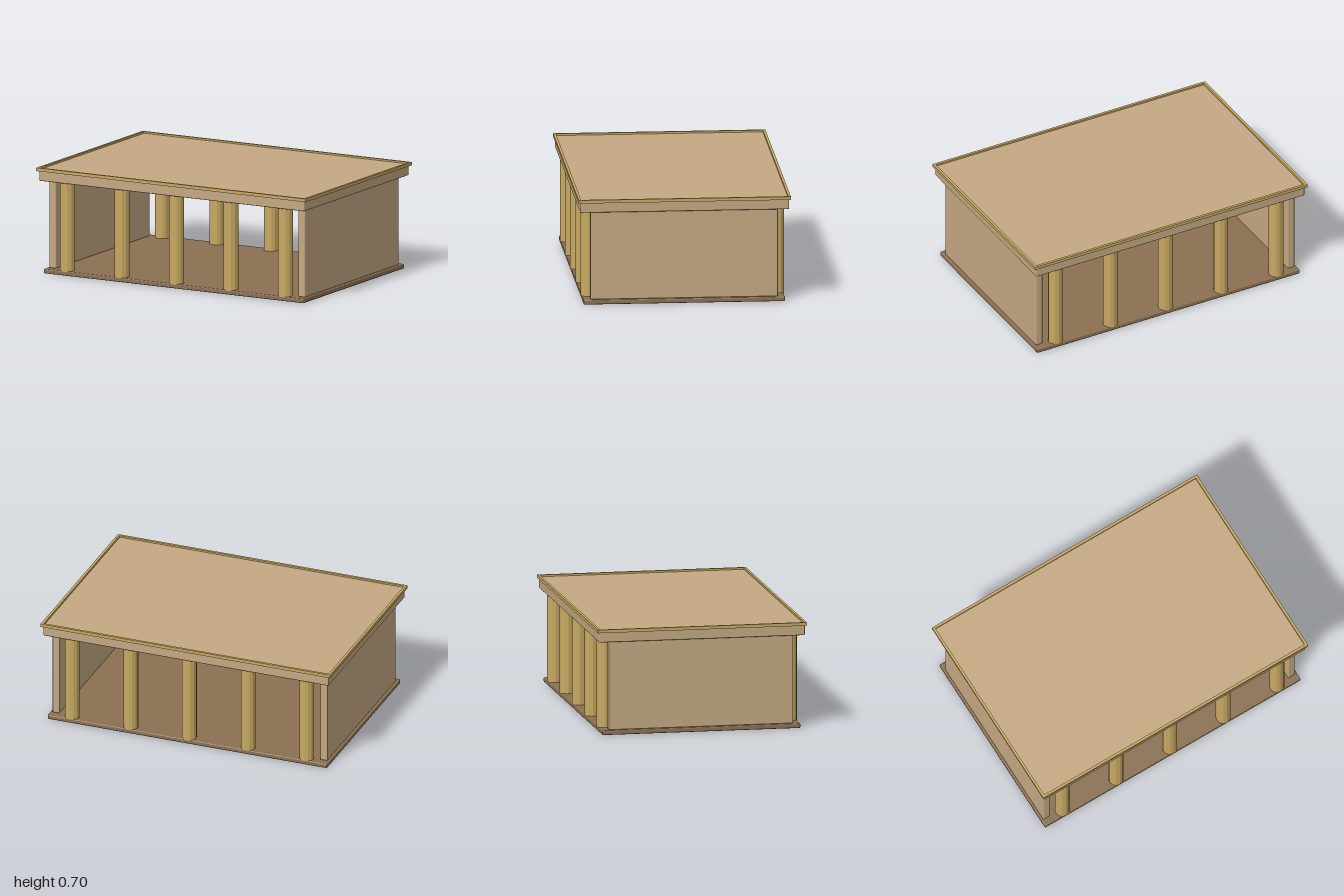
import * as THREE from 'three';
import { RoundedBoxGeometry } from 'three/addons/geometries/RoundedBoxGeometry.js';

export function createModel() {
  const model = new THREE.Group();
  model.name = 'pavilion';

  const mat = (name, color, extra = {}) => {
    const m = new THREE.MeshStandardMaterial({ color, ...extra });
    m.name = name;
    return m;
  };
  const sandstone = mat('sandstone', 0xc4a882);
  const gold = mat('gold', 0xc8a962, { flatShading: true });
  const floorBrown = mat('floorBrown', 0x8b7053);
  const rodBrown = mat('rodBrown', 0x8b5a2b);

  const add = (name, geometry, material, x, y, z) => {
    const mesh = new THREE.Mesh(geometry, material);
    mesh.name = name;
    mesh.position.set(x, y, z);
    model.add(mesh);
    return mesh;
  };
  // Box with softened edges, spanning y0 to y1
  const slab = (name, w, y0, y1, d, material, x = 0, r = 0.007) =>
    add(name, new RoundedBoxGeometry(w, y1 - y0, d, 2, r), material, x, (y0 + y1) / 2, 0);

  // Floor and roof slabs
  slab('floor', 1.93, 0, 0.03, 1.3, floorBrown);
  slab('roof', 1.97, 0.61, 0.685, 1.35, sandstone);

  // Solid side walls
  for (const s of [-1, 1]) {
    slab(s > 0 ? 'leftWall' : 'rightWall', 0.05, 0.03, 0.608, 1.21, sandstone, s * 0.925);
  }

  // Cornice frame around the roof
  const rect = (Type, w, d) => {
    const p = new Type();
    p.moveTo(-w, -d);
    p.lineTo(w, -d);
    p.lineTo(w, d);
    p.lineTo(-w, d);
    p.closePath();
    return p;
  };
  const frame = rect(THREE.Shape, 1, 0.685);
  frame.holes.push(rect(THREE.Path, 0.983, 0.668));
  const cornice = new THREE.ExtrudeGeometry(frame, { depth: 0.021, bevelEnabled: false });
  cornice.rotateX(-Math.PI / 2);
  add('cornice', cornice, gold, 0, 0.675, 0);

  // Colonnades and hanging rods along the two open sides
  const columnGeo = new THREE.CylinderGeometry(0.048, 0.048, 0.585, 12);
  const rodGeo = new THREE.CylinderGeometry(0.006, 0.006, 1.64, 8);
  rodGeo.rotateZ(Math.PI / 2);
  for (const s of [-1, 1]) {
    const side = s > 0 ? 'front' : 'back';
    for (let i = -2; i <= 2; i++) {
      add(side + 'Column', columnGeo, gold, i * 0.405, 0.3205, s * 0.609);
    }
    add(side + 'Rod', rodGeo, rodBrown, 0, 0.59, s * 0.5);
  }

  return model;
}
